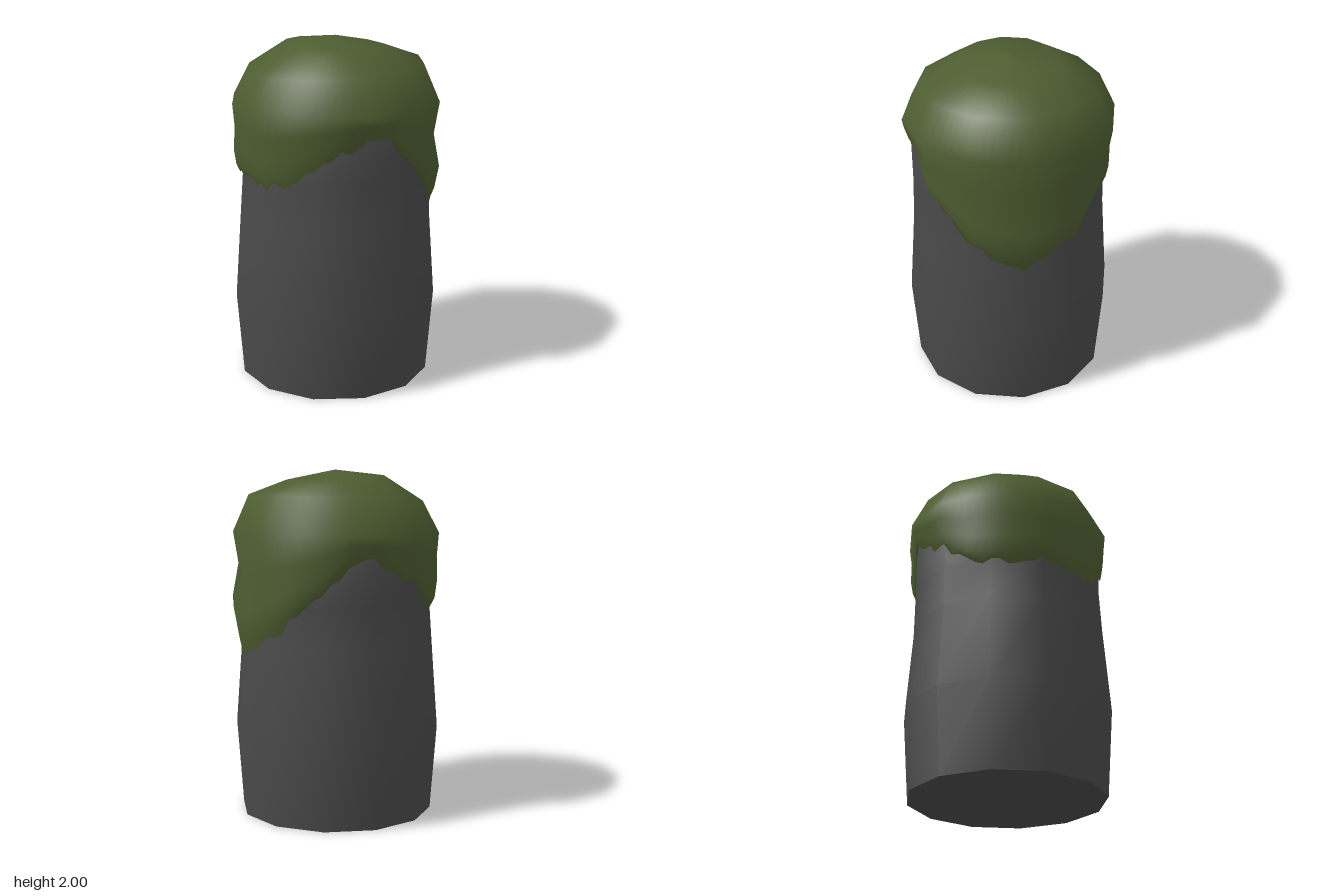
import * as THREE from 'three';

const SIDES = 12;
const STEP = (Math.PI * 2) / SIDES;

// Skin of rows (bottom to top) around the y axis, twelve-sided, smooth shaded.
// point(theta, row, column) returns [radius, y, xOffset].
function loft(rows, sub, point) {
  const cols = SIDES * sub;
  const pos = [];
  const index = [];
  for (let i = 0; i < rows; i++) {
    for (let j = 0; j < cols; j++) {
      const a = (j / cols) * Math.PI * 2;
      const [r, y, ox] = point(a, i, j);
      const flat = Math.cos(STEP / 2) / Math.cos((a % STEP) - STEP / 2);
      const k = j % sub === 0 ? r : r * flat;
      pos.push(Math.cos(a) * k + ox, y, Math.sin(a) * k);
    }
  }
  for (let i = 0; i < rows - 1; i++) {
    for (let j = 0; j < cols; j++) {
      const a = i * cols + j;
      const c = i * cols + ((j + 1) % cols);
      index.push(a, a + cols, c, c, a + cols, c + cols);
    }
  }
  const geo = new THREE.BufferGeometry();
  geo.setAttribute('position', new THREE.Float32BufferAttribute(pos, 3));
  geo.setIndex(index);
  geo.computeVertexNormals();

  // Blend normals between the twelve corners so the sides shade softly
  const n = geo.attributes.normal;
  const p = new THREE.Vector3();
  const q = new THREE.Vector3();
  for (let i = 0; i < rows; i++) {
    for (let j = 0; j < cols; j++) {
      const s = j % sub;
      if (s === 0) continue;
      p.fromBufferAttribute(n, i * cols + j - s);
      q.fromBufferAttribute(n, i * cols + ((j - s + sub) % cols));
      p.lerp(q, s / sub).normalize();
      n.setXYZ(i * cols + j, p.x, p.y, p.z);
    }
  }
  return geo;
}

function seeded(seed) {
  return () => {
    seed = (seed * 16807) % 2147483647;
    return seed / 2147483647;
  };
}

// Height of the moss edge every 15 degrees from +x to -x, mirrored in z
const EDGE = [0.97, 1.0, 1.08, 1.2, 1.31, 1.49, 1.51, 1.43, 1.36, 1.26, 1.22, 1.23, 1.25];
function edgeHeight(a) {
  const t = (a > Math.PI ? Math.PI * 2 - a : a) / (Math.PI / 12);
  const i = Math.min(Math.floor(t), EDGE.length - 2);
  return THREE.MathUtils.lerp(EDGE[i], EDGE[i + 1], t - i);
}

// Moss radii from lower edge to brow: long lobe, short lobe, gap between them
const DROP = [1, 0.9, 0.67, 0.33];
const LONG = [0.562, 0.585, 0.614, 0.562];
const SHORT = [0.574, 0.595, 0.608, 0.6];
const GAP = [0.568, 0.574, 0.583, 0.597];
// Crown rows: radius, height, tilt along x
const CROWN = [[0.606, 1.64, 0], [0.51, 1.84, 0.02], [0.285, 1.955, -0.015], [0, 2.0, 0]];

function makeMoss() {
  const sub = 6;
  const rand = seeded(77);
  const ragged = Array.from({ length: SIDES * sub }, () => (rand() - 0.5) * 0.055);
  return loft(DROP.length + CROWN.length, sub, (a, row, j) => {
    const c = Math.cos(a);
    if (row >= DROP.length) {
      const [r, y, tilt] = CROWN[row - DROP.length];
      return [r, y + tilt * c, -0.005];
    }
    const lobe = c > 0 ? LONG : SHORT;
    const r = THREE.MathUtils.lerp(GAP[row], lobe[row], c * c);
    const y = 1.64 - (1.64 - edgeHeight(a)) * DROP[row];
    return [r, row === 0 ? y + ragged[j] : y, 0];
  });
}

export function createModel() {
  const group = new THREE.Group();
  const rock = new THREE.MeshStandardMaterial({ color: 0x4a4a4a });
  rock.name = 'darkRock';
  const moss = new THREE.MeshStandardMaterial({ color: 0x4d5c30, side: THREE.DoubleSide });
  moss.name = 'mossGreen';

  const add = (name, geo, mat) => {
    const mesh = new THREE.Mesh(geo, mat);
    mesh.name = name;
    group.add(mesh);
    return mesh;
  };

  // Stone pillar, slightly swollen in the lower half: radius, height, x offset
  const profile = [
    [0.565, 0, -0.012], [0.602, 0.5, -0.012], [0.565, 1, -0.012],
    [0.558, 1.25, 0], [0.56, 1.5, 0], [0.5, 1.6, 0],
  ];
  add('stonePillar', loft(profile.length, 1, (a, row) => profile[row]), rock);

  // Flat underside
  const base = new THREE.CircleGeometry(0.565, SIDES).rotateX(Math.PI / 2);
  add('pillarBase', base, rock).position.x = -0.012;

  // Moss cap with a long lobe on +x and a short lobe on -x
  add('mossCap', makeMoss(), moss);

  return group;
}
